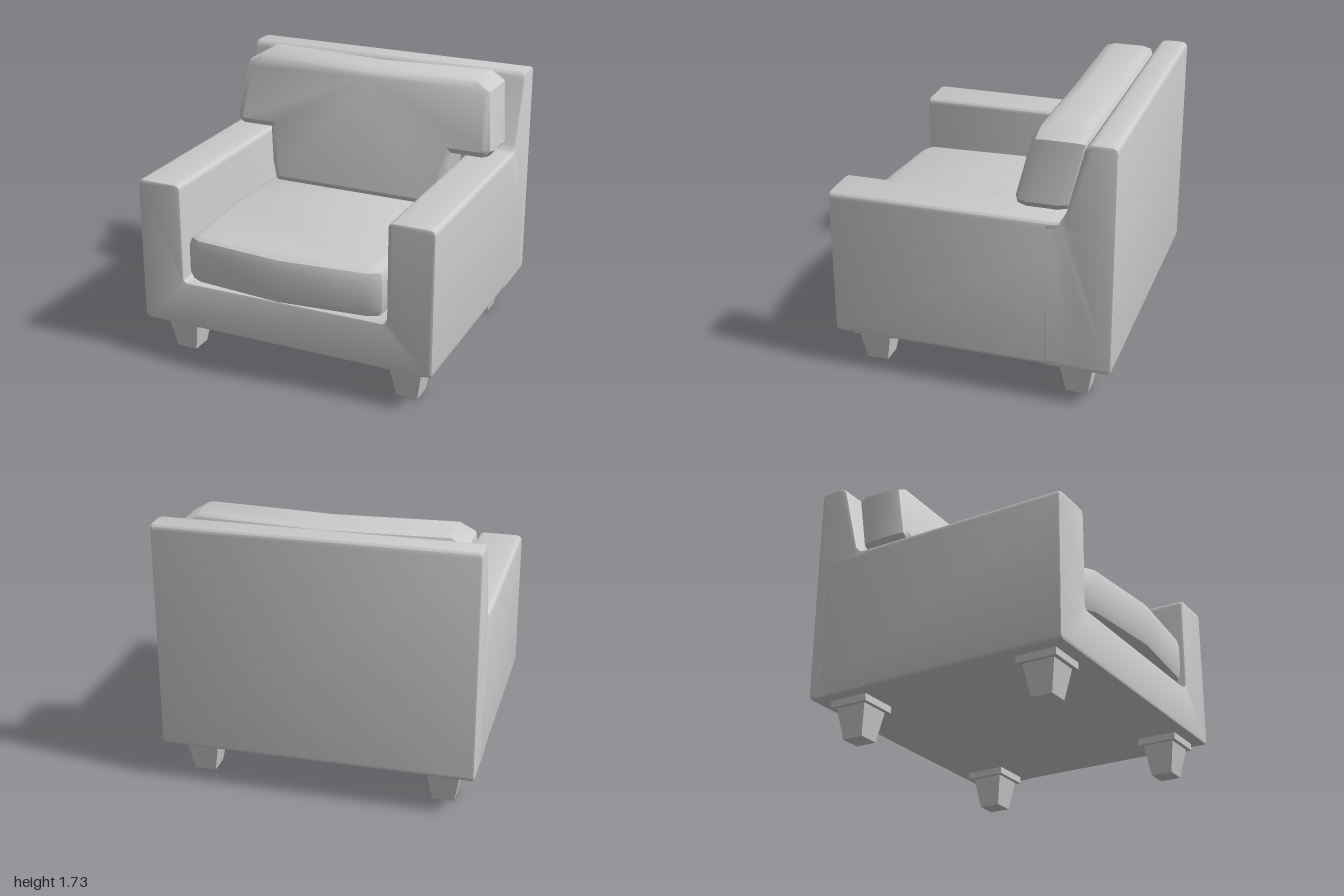
import * as THREE from 'three';
import { toCreasedNormals } from 'three/addons/utils/BufferGeometryUtils.js';

const grey = new THREE.MeshStandardMaterial({ color: 0xcccccc });

// Closed outline whose corners [x, y, radius] are softened
function outline(points) {
  const shape = new THREE.Shape();
  const n = points.length;
  points.forEach(([x, y, r = 0], i) => {
    const corner = new THREE.Vector2(x, y);
    const toward = ([px, py]) => new THREE.Vector2(px - x, py - y).setLength(r).add(corner);
    const a = toward(points[(i + n - 1) % n]);
    const b = toward(points[(i + 1) % n]);
    if (i === 0) shape.moveTo(a.x, a.y); else shape.lineTo(a.x, a.y);
    if (r > 0) shape.quadraticCurveTo(x, y, b.x, b.y);
  });
  shape.closePath();
  return shape;
}

// Bevelled slab of the given full thickness, centred on z = 0
function slab(points, thickness, bevelSize, bevelThickness) {
  const depth = thickness - 2 * bevelThickness;
  const geo = new THREE.ExtrudeGeometry(outline(points), {
    depth, bevelSize, bevelThickness, bevelOffset: -bevelSize, bevelSegments: 2, curveSegments: 3,
  });
  return geo.translate(0, 0, -depth / 2);
}

// Mirrors a half outline (bottom to top on +x) to the other side
const mirrored = (half) => [...half, ...half.filter((p) => p[0] > 0).reverse().map(([x, y, r]) => [-x, y, r])];

function add(parent, name, geo) {
  const mesh = new THREE.Mesh(geo, grey);
  mesh.name = name;
  parent.add(mesh);
  return mesh;
}

export function createModel() {
  const chair = new THREE.Group();
  chair.name = 'armchair';

  // Base and both arms: one U-shaped section running front to back
  const u = slab(mirrored([
    [1, 0.245, 0.035], [1, 1.21, 0.04], [0.7, 1.21, 0.04], [0.7, 0.55, 0.035],
  ]), 1.72, 0.016, 0.016).translate(0, 0, 0);
  add(chair, 'baseAndArms', toCreasedNormals(u, 0.6));

  // Backrest: side profile with a sloped front, spanning the full width
  const back = slab([
    [-0.93, 0.245, 0.035], [-0.5, 0.245, 0.03], [-0.5, 1.19], [-0.59, 1.205],
    [-0.625, 1.24], [-0.745, 1.718, 0.05], [-0.93, 1.718, 0.04],
  ], 2, 0.016, 0.016).rotateY(-Math.PI / 2);
  add(chair, 'backrest', toCreasedNormals(back, 0.6));

  // Seat cushion: plan outline with a bowed front edge
  const seat = slab(mirrored([
    [0.66, -0.6, 0.04], [0.695, 0.15], [0.66, 0.83], [0.58, 0.875], [0, 0.93],
  ]), 0.32, 0.055, 0.07).rotateX(Math.PI / 2).translate(0, 0.72, 0);
  add(chair, 'seatCushion', toCreasedNormals(seat, 0.6));

  // Back cushion: T-shaped, resting over the arms and leaning on the slope
  const cushion = slab(mirrored([
    [0.59, 0.885, 0.03], [0.635, 1.02], [0.67, 1.235], [0.89, 1.235, 0.03], [0.935, 1.29],
    [0.885, 1.67], [0.78, 1.73], [0, 1.71],
  ]), 0.35, 0.05, 0.08).translate(0, 0, -0.45);
  const pos = cushion.attributes.position;
  for (let i = 0; i < pos.count; i++) {
    pos.setZ(i, pos.getZ(i) - 0.24 * (pos.getY(i) - 1.21));
  }
  add(chair, 'backCushion', toCreasedNormals(cushion, 0.6));

  // Four tapered legs, each under a square mounting plate
  for (const x of [-0.785, 0.785]) {
    for (const z of [0.645, -0.685]) {
      const leg = new THREE.Group();
      leg.name = (z > 0 ? 'front' : 'back') + (x > 0 ? 'Left' : 'Right') + 'Leg';
      leg.position.set(x, 0, z);
      const taper = new THREE.CylinderGeometry(0.105 * Math.SQRT2, 0.07 * Math.SQRT2, 0.2, 4)
        .rotateY(Math.PI / 4).translate(0, 0.1, 0);
      add(leg, 'foot', toCreasedNormals(taper, 0.5));
      add(leg, 'plate', new THREE.BoxGeometry(0.265, 0.055, 0.265).translate(0, 0.2275, 0));
      chair.add(leg);
    }
  }
  return chair;
}
